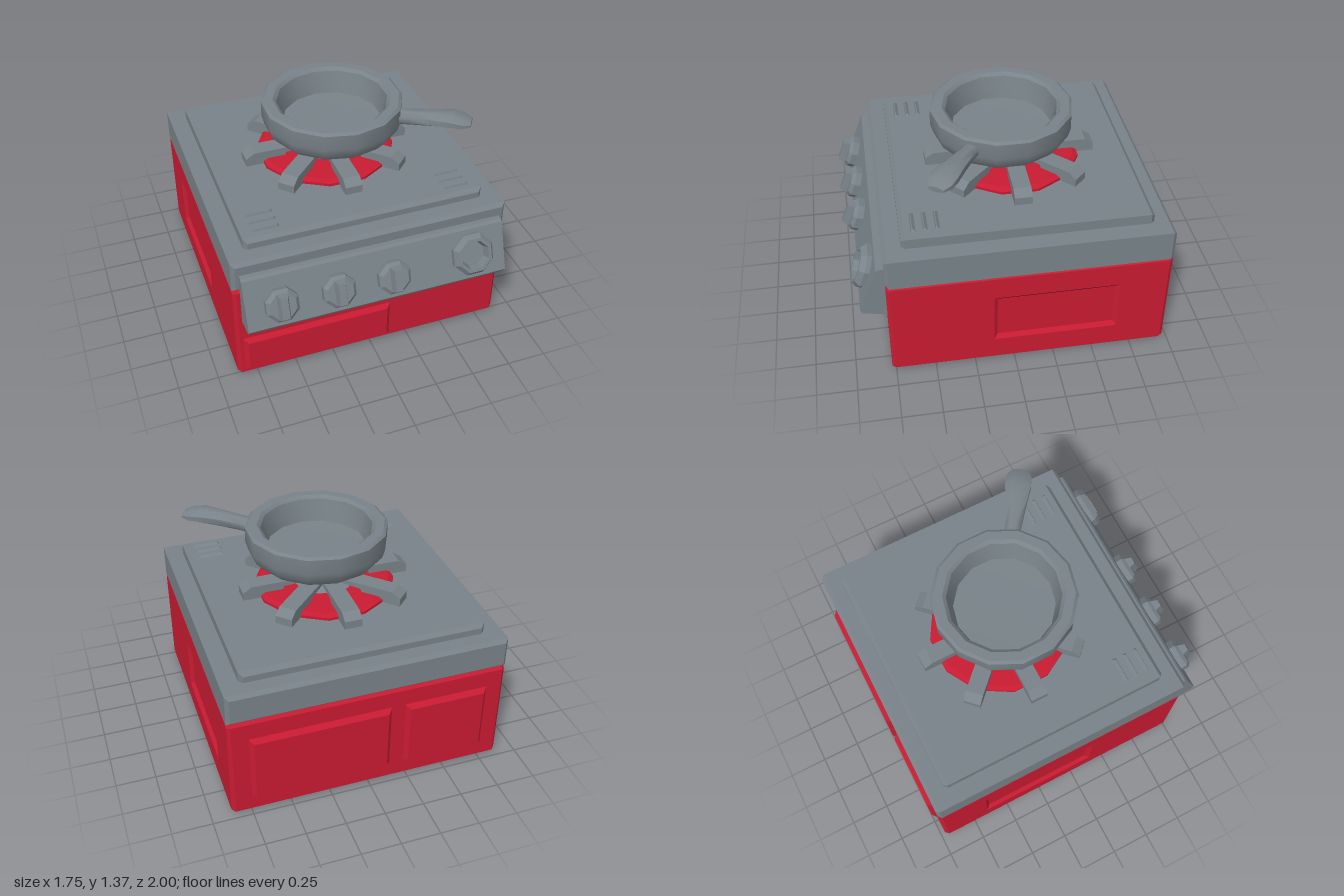
import * as THREE from 'three';
import { toCreasedNormals } from 'three/addons/utils/BufferGeometryUtils.js';

export function createModel() {
  const root = new THREE.Group();
  root.name = 'campStove';
  const material = (name, color) => {
    const m = new THREE.MeshStandardMaterial({ color });
    m.name = name;
    return m;
  };
  const red = material('red enamel', 0xc81b32);
  const purple = material('dark purple underside', 0x780434);
  const grey = material('grey metal', 0x788288);

  const add = (name, geo, mat, parent = root) => {
    const mesh = new THREE.Mesh(geo, mat);
    mesh.name = name;
    parent.add(mesh);
    return mesh;
  };
  const polygon = (pts) => new THREE.Shape(pts.map(([a, b]) => new THREE.Vector2(a, b)));

  // Box given by its bounds, with every edge chamfered by c
  function chamferBox(x0, x1, y0, y1, z0, z1, c) {
    const shape = polygon([[x0 + c, y0 + c], [x1 - c, y0 + c], [x1 - c, y1 - c], [x0 + c, y1 - c]]);
    const g = new THREE.ExtrudeGeometry(shape, {
      depth: z1 - z0 - 2 * c, bevelEnabled: true, bevelSegments: 1, bevelSize: c, bevelThickness: c,
    });
    return g.translate(0, 0, z0 + c);
  }
  // Plain extrusion of a (z, y) or (radius, y) profile, centred on x
  function sideExtrude(pts, width) {
    const g = new THREE.ExtrudeGeometry(polygon(pts), { depth: width, bevelEnabled: false });
    return g.translate(0, 0, -width / 2).rotateY(-Math.PI / 2);
  }
  // Skin over equal-sized loops of points following +x, closed at both ends
  function loft(loops) {
    const n = loops[0].length, end = (loops.length - 1) * n, faces = [];
    for (let k = 0; k < loops.length - 1; k++) {
      for (let i = 0; i < n; i++) {
        const p = k * n + i, q = k * n + ((i + 1) % n);
        faces.push(p, p + n, q, q, p + n, q + n);
      }
    }
    for (let i = 1; i < n - 1; i++) faces.push(0, i, i + 1, end, end + i + 1, end + i);
    const g = new THREE.BufferGeometry();
    g.setAttribute('position', new THREE.Float32BufferAttribute(loops.flat(2), 3));
    g.setIndex(faces);
    return g;
  }
  // Groups for two materials: 0 for most faces, 1 for faces pointing down
  function splitUnderside(g) {
    const p = g.attributes.position, tri = new THREE.Triangle(), normal = new THREE.Vector3();
    g.clearGroups();
    for (let i = 0; i < p.count; i += 3) {
      tri.setFromAttributeAndIndices(p, i, i + 1, i + 2);
      g.addGroup(i, 3, tri.getNormal(normal).y < -0.5 ? 1 : 0);
    }
    return g;
  }

  // Body: chamfered block with a bevelled recess in each side
  const section = (x, z0, z1, y0, y1, c) => [
    [x, y0 + c, z1], [x, y1 - c, z1], [x, y1, z1 - c], [x, y1, z0 + c],
    [x, y1 - c, z0], [x, y0 + c, z0], [x, y0, z0 + c], [x, y0, z1 - c]];
  const half = [
    [0.85, -0.625, 0.107, 0.203, 0.503, 0.002],
    [0.873, -0.65, 0.13, 0.178, 0.53, 0.002],
    [0.873, -0.948, 0.753, 0.027, 0.683, 0.01],
    [0.851, -0.97, 0.775, 0.005, 0.705, 0.022]];
  const bodyLoops = [
    ...half.map(([x, ...rest]) => section(-x, ...rest)),
    ...half.map((h) => section(...h)).reverse()];
  const body = loft(bodyLoops).toNonIndexed();
  body.computeVertexNormals();
  add('body', splitUnderside(body), [red, purple]);

  // Raised panels on the front and back
  const panel = (name, ...bounds) => add(name, splitUnderside(chamferBox(...bounds, 0.025)), [red, purple]);
  panel('frontPanel', -0.83, 0.125, 0.05, 0.31, 0.74, 0.802);
  panel('backPanelLarge', -0.13, 0.75, 0.13, 0.575, -1.0, -0.92);
  panel('backPanelSmall', -0.75, -0.22, 0.13, 0.575, -1.0, -0.92);

  // Lid and hob plate
  add('lid', chamferBox(-0.874, 0.874, 0.698, 0.902, -0.972, 0.775, 0.022), grey);
  add('hobPlate', chamferBox(-0.763, 0.763, 0.86, 0.967, -0.863, 0.662, 0.024), grey);

  // Vent slats: low wedges narrowing toward the ridge
  for (const x of [-0.61, 0.61]) {
    for (const z of [0.435, 0.507, 0.58]) {
      const g = new THREE.BoxGeometry(0.18, 0.02, 0.036).toNonIndexed();
      const p = g.attributes.position;
      for (let i = 0; i < p.count; i++) {
        if (p.getY(i) > 0) p.setXYZ(i, p.getX(i) * 0.8, 0.01, p.getZ(i) * 0.15 + 0.008);
      }
      g.computeVertexNormals();
      add('ventSlat', g, grey).position.set(x, 0.972, z);
    }
  }

  // Burner: red ring, grey cap and eight pan supports
  const burner = new THREE.Group();
  burner.name = 'burner';
  burner.position.set(0, 0, -0.1);
  root.add(burner);
  const ring = new THREE.LatheGeometry([[0.445, 0.95], [0.445, 0.985], [0.415, 1.0], [0.0, 1.0]]
    .map(([r, y]) => new THREE.Vector2(r, y)), 12, Math.PI / 12);
  add('burnerRing', toCreasedNormals(ring, 0.3), red, burner);
  const cap = new THREE.CylinderGeometry(0.07, 0.21, 0.048, 12);
  add('burnerCap', cap, grey, burner).position.y = 1.02;
  const prong = sideExtrude([[0.12, 1.03], [0.28, 1.02], [0.3, 0.96], [0.545, 0.96],
    [0.545, 1.018], [0.49, 1.054], [0.12, 1.054]], 0.11);
  for (let i = 0; i < 8; i++) {
    add('panSupport', prong, grey, burner).rotation.y = (i * Math.PI) / 4;
  }

  // Sloping control panel
  add('controlPanel', sideExtrude([[0.72, 0.46], [0.78, 0.457], [0.92, 0.487], [0.935, 0.512],
    [0.822, 0.808], [0.805, 0.82], [0.72, 0.82]], 1.66), grey);

  // Controls are built facing +z, then tilted to the panel's slope
  const slope = 0.113 / 0.296;
  function control(name, x, y) {
    const g = new THREE.Group();
    g.name = name;
    g.position.set(x, y, 0.935 - (y - 0.512) * slope);
    g.rotation.x = -Math.atan(slope);
    root.add(g);
    return g;
  }
  const octLathe = (pts) => toCreasedNormals(
    new THREE.LatheGeometry(pts.map(([r, y]) => new THREE.Vector2(r, y)), 8, Math.PI / 8)
      .rotateX(Math.PI / 2), 0.3);
  const knobBase = octLathe([[0.108, -0.02], [0.108, 0.04], [0.085, 0.062], [0, 0.062]]);
  const grip = new THREE.BoxGeometry(0.09, 0.18, 0.07).toNonIndexed();
  const gp = grip.attributes.position;
  for (let i = 0; i < gp.count; i++) {
    if (gp.getZ(i) > 0) gp.setXY(i, gp.getX(i) * 0.5, gp.getY(i) * 0.75);
  }
  grip.computeVertexNormals();
  for (const x of [-0.617, -0.265, 0.085]) {
    const knob = control('knob', x, 0.642);
    add('knobBase', knobBase, grey, knob);
    add('knobGrip', grip, grey, knob).position.z = 0.067;
  }
  const dial = control('dial', 0.609, 0.664);
  add('dialRing', octLathe([[0.14, -0.02], [0.14, 0.03], [0.115, 0.062], [0.095, 0.062],
    [0.08, 0.012], [0, 0.012]]), grey, dial);

  // Pan hovering above the burner
  const pan = new THREE.Group();
  pan.name = 'pan';
  pan.position.set(0.03, 0, -0.045);
  root.add(pan);
  const bowl = new THREE.LatheGeometry([[0, 1.158], [0.388, 1.158], [0.43, 1.205], [0.446, 1.26],
    [0.446, 1.36], [0.428, 1.374], [0.372, 1.374], [0.35, 1.355], [0.315, 1.21], [0, 1.2]]
    .map(([r, y]) => new THREE.Vector2(r, y)), 14);
  add('panBowl', toCreasedNormals(bowl, 0.6), grey, pan);

  // Handle lofted through eight-sided sections: [radius, centre y, half height, half width]
  const handle = loft([[0.39, 1.288, 0.045, 0.05], [0.5, 1.299, 0.045, 0.05],
    [0.66, 1.317, 0.046, 0.068], [0.76, 1.325, 0.042, 0.082], [0.83, 1.32, 0.032, 0.078],
    [0.88, 1.314, 0.016, 0.05]].map(([r, y, h, w]) => Array.from({ length: 8 }, (_, i) => {
    const a = ((i + 0.5) / 8) * Math.PI * 2;
    return [r, y + h * Math.sin(a) * 1.08, w * Math.cos(a) * 1.08];
  })));
  add('panHandle', toCreasedNormals(handle, 0.9), grey, pan).rotation.y = -0.59;

  return root;
}
